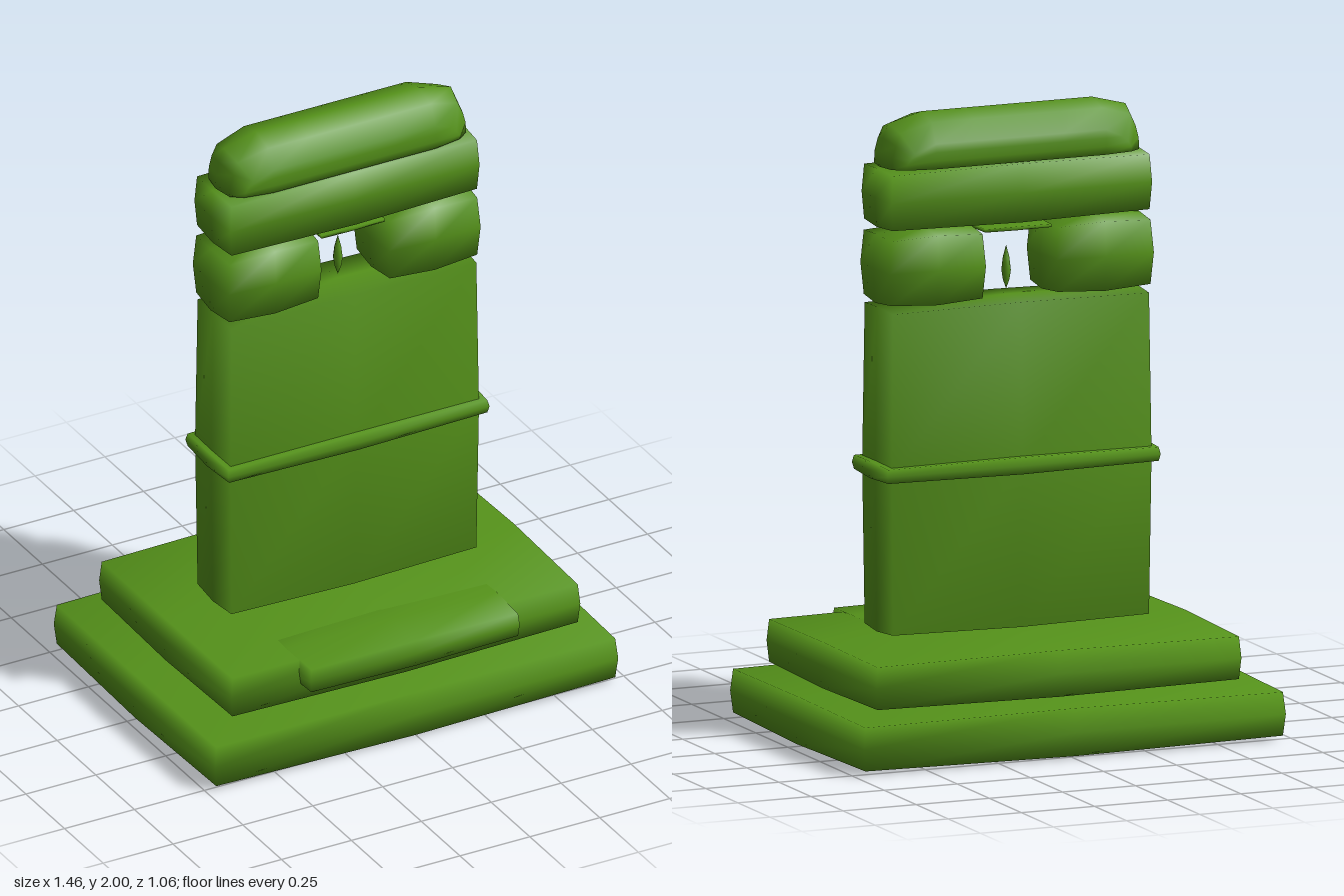
import * as THREE from 'three';
import { mergeVertices } from 'three/addons/utils/BufferGeometryUtils.js';

const green = new THREE.MeshStandardMaterial({ color: 0x55921a });

// Smooth, welded box whose vertices (u, v, w in -1..1) are placed by a rule
function shapedBox(name, segments, rule) {
  let geo = new THREE.BoxGeometry(2, 2, 2, ...segments);
  geo.deleteAttribute('normal');
  geo.deleteAttribute('uv');
  geo = mergeVertices(geo);
  const pos = geo.attributes.position;
  for (let i = 0; i < pos.count; i++) {
    pos.setXYZ(i, ...rule(pos.getX(i), pos.getY(i), pos.getZ(i)));
  }
  geo.computeVertexNormals();
  const mesh = new THREE.Mesh(geo, green);
  mesh.name = name;
  return mesh;
}

// Hewn stone slab: faces swell slightly, edges and corners draw in
function slab(name, x0, x1, y0, y1, z0, z1, inset = 0.012) {
  const place = (a, b, t, s, r) => (a + b) / 2 + t * ((b - a) / 2 - inset * (Math.abs(s) + Math.abs(r)) / 2);
  return shapedBox(name, [2, 2, 2], (u, v, w) => [
    place(x0, x1, u, v, w),
    place(y0, y1, v, u, w),
    place(z0, z1, w, u, v),
  ]);
}

export function createModel() {
  const model = new THREE.Group();
  model.name = 'stoneLantern';

  // Stepped foot
  model.add(
    slab('base', -0.73, 0.725, 0.005, 0.172, -0.53, 0.53, 0.014),
    slab('plinth', -0.617, 0.642, 0.18, 0.34, -0.438, 0.432),
    slab('frontStep', -0.372, 0.383, 0.242, 0.338, 0.19, 0.503, 0.008),
  );

  // Upright slab with its band
  model.add(
    slab('pillar', -0.447, 0.453, 0.345, 1.394, -0.125, 0.118),
    slab('band', -0.467, 0.477, 0.838, 0.902, -0.148, 0.14, 0.01),
  );

  // Light chamber: two blocks, a thin ceiling plate and a flame
  model.add(
    slab('rightBlock', -0.457, -0.108, 1.393, 1.63, -0.127, 0.12, 0.016),
    slab('leftBlock', 0.117, 0.461, 1.393, 1.63, -0.127, 0.12, 0.016),
    slab('ceilingPlate', -0.11, 0.12, 1.613, 1.627, -0.1, 0.1, 0.002),
  );
  const flameProfile = [[0, 0], [0.011, 0.03], [0.016, 0.06], [0.011, 0.1], [0, 0.14]]
    .map(([r, y]) => new THREE.Vector2(r, y));
  const flame = new THREE.Mesh(new THREE.LatheGeometry(flameProfile, 8), green);
  flame.name = 'flame';
  flame.position.set(0.004, 1.41, 0);
  model.add(flame);

  // Lintel and rounded cap
  model.add(slab('lintel', -0.448, 0.454, 1.637, 1.836, -0.127, 0.12));
  model.add(shapedBox('cap', [6, 3, 4], (u, v, w) => {
    const end = Math.abs(u) > 0.9 ? 1 : 0;
    const up = (v + 1) / 2;
    const top = 2 - 0.085 * w * w - 0.03 * end;
    return [
      0.004 + u * (0.436 - end * (0.03 * up * up + 0.05 * w * w)),
      1.835 + up * (top - 1.835),
      -0.004 + 0.118 * Math.sin(w * Math.PI / 2) * (1 - 0.15 * end) * (1 - 0.04 * v * v),
    ];
  }));
  return model;
}
